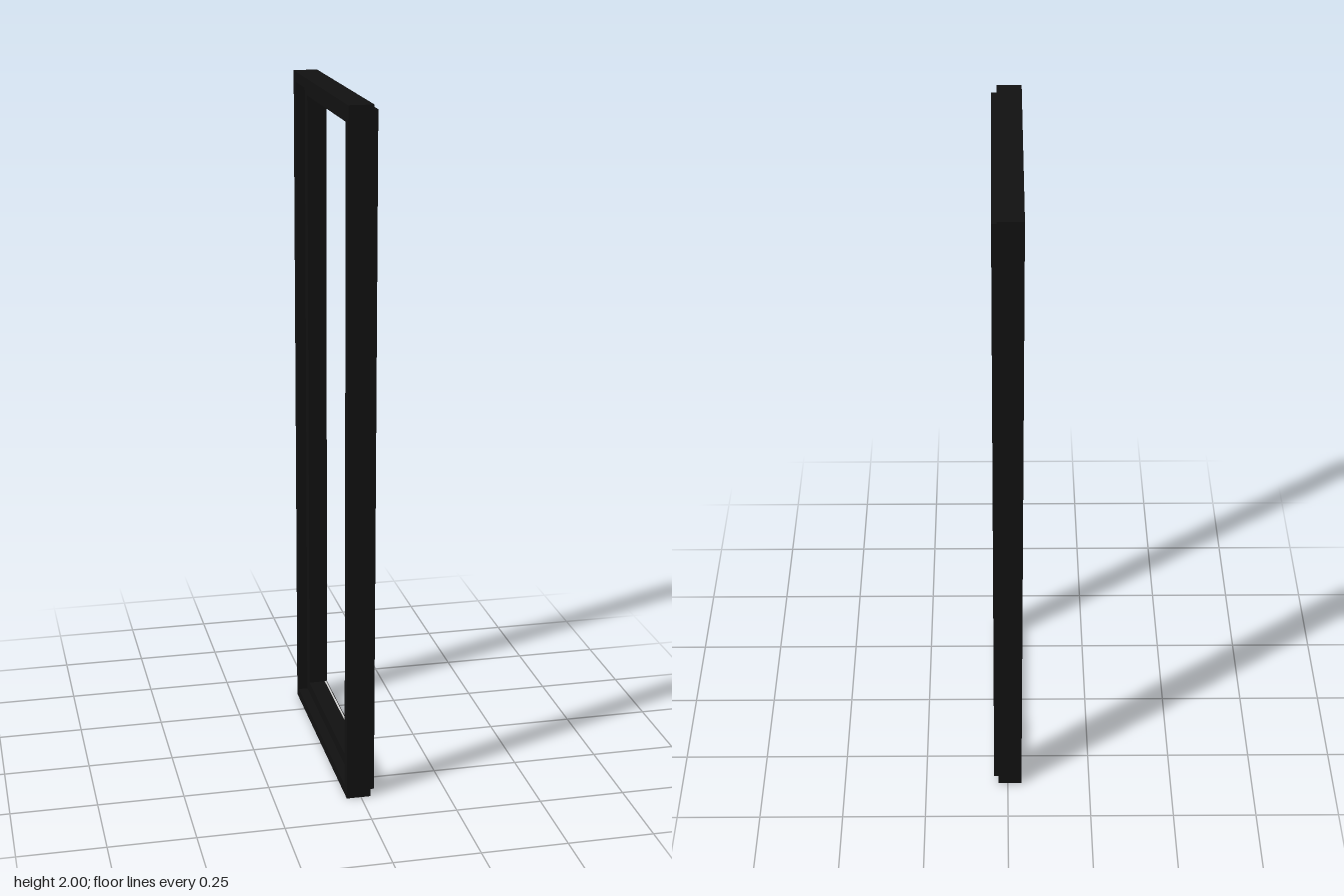
import * as THREE from 'three';

const HALF_Z = 0.365, HALF_Y = 1;

// Sweeps a closed profile of [x, inset] points round a mitred rectangle.
function mitredFrame(profile) {
  const corners = [[1, -1], [1, 1], [-1, 1], [-1, -1]];
  const positions = [], index = [], n = profile.length;
  for (const [sz, sy] of corners) {
    for (const [x, inset] of profile) {
      positions.push(x, HALF_Y + sy * (HALF_Y - inset), sz * (HALF_Z - inset));
    }
  }
  for (let c = 0; c < 4; c++) {
    for (let p = 0; p < n; p++) {
      const q = (p + 1) % n, d = (c + 1) % 4;
      const a0 = c * n + p, b0 = c * n + q, a1 = d * n + p, b1 = d * n + q;
      index.push(a0, b0, b1, a0, b1, a1);
    }
  }
  const indexed = new THREE.BufferGeometry();
  indexed.setAttribute('position', new THREE.Float32BufferAttribute(positions, 3));
  indexed.setIndex(index);
  const geometry = indexed.toNonIndexed();
  geometry.computeVertexNormals();
  return geometry;
}

export function createModel() {
  const group = new THREE.Group();
  group.name = 'windowFrame';

  // Stepped frame: outer shoulder on the +x side, inner rebate on the -x side
  const frame = new THREE.Mesh(
    mitredFrame([
      [-0.042, 0], [0.028, 0], [0.028, 0.015], [0.042, 0.015],
      [0.042, 0.066], [-0.015, 0.066], [-0.015, 0.03], [-0.042, 0.03],
    ]),
    new THREE.MeshStandardMaterial({ color: 0x111111 })
  );
  frame.name = 'frame';
  group.add(frame);

  // Pale sealing strip along the sill
  const seal = new THREE.Mesh(
    new THREE.BoxGeometry(0.005, 0.003, 2 * (HALF_Z - 0.066)),
    new THREE.MeshStandardMaterial({ color: 0xcccccc })
  );
  seal.name = 'sillSeal';
  seal.position.set(0.037, 0.066, 0);
  group.add(seal);

  return group;
}
